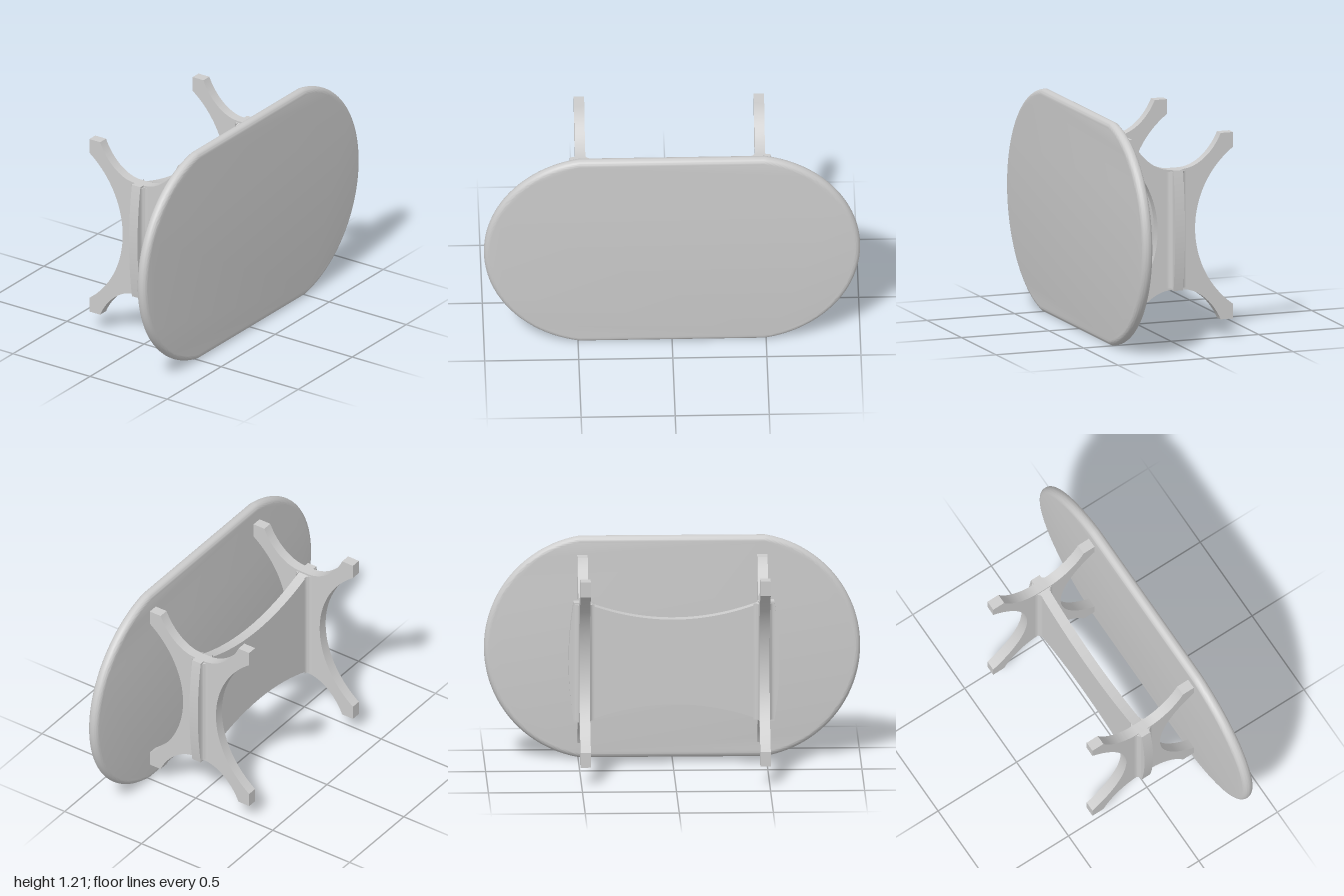
import * as THREE from 'three';
import { toCreasedNormals } from 'three/addons/utils/BufferGeometryUtils.js';

const MID_Y = 0.604;   // height of the table's long axis
const MID_Z = -0.028;  // plane of the connecting panel
const HALF = 0.0275;   // half the board thickness
const FRAME_X = 0.478; // distance of the leg frames from the centre
const POST = 0.326;    // half height of the legs' middle part

const material = new THREE.MeshStandardMaterial({ color: 0xcccccc });

function makeMesh(name, geometry) {
  const mesh = new THREE.Mesh(toCreasedNormals(geometry, 0.6), material);
  mesh.name = name;
  return mesh;
}

function extrude(shape, depth, options = {}) {
  return new THREE.ExtrudeGeometry(shape, { depth, bevelEnabled: false, curveSegments: 32, ...options });
}

// Oblong top with arched ends and a fully rounded rim
function tabletop() {
  const rim = 0.029, radius = 0.613 - rim, half = MID_Y - rim;
  const a = Math.asin(half / radius), cx = 0.387;
  const shape = new THREE.Shape();
  shape.absarc(cx, 0, radius, -a, a, false);
  shape.absarc(-cx, 0, radius, Math.PI - a, Math.PI + a, false);
  shape.closePath();
  const geometry = extrude(shape, 0.002, {
    bevelEnabled: true, bevelSize: rim, bevelThickness: rim, bevelSegments: 8, curveSegments: 48,
  });
  geometry.translate(0, MID_Y, 0.324);
  return makeMesh('tabletop', geometry);
}

// X-shaped side with four splayed legs, drawn in the depth/height plane
function legFrame() {
  const w = 0.323, foot = 0.253, h = 0.505, knee = 0.425, waist = 0.107;
  const sag = w - waist;
  const radius = (knee * knee + sag * sag) / (2 * sag);
  const a = Math.asin(knee / radius);
  const shape = new THREE.Shape();
  shape.moveTo(w, -h);
  shape.lineTo(w, -knee);
  shape.absarc(waist + radius, 0, radius, Math.PI + a, Math.PI - a, true);
  shape.lineTo(w, h);
  shape.lineTo(foot, h);
  shape.bezierCurveTo(0.215, 0.415, 0.128, POST, 0.028, POST);
  shape.lineTo(-0.028, POST);
  shape.bezierCurveTo(-0.128, POST, -0.215, 0.415, -foot, h);
  shape.lineTo(-w, h);
  shape.lineTo(-w, knee);
  shape.absarc(-waist - radius, 0, radius, a, -a, true);
  shape.lineTo(-w, -h);
  shape.lineTo(-foot, -h);
  shape.bezierCurveTo(-0.215, -0.415, -0.128, -POST, -0.028, -POST);
  shape.lineTo(0.028, -POST);
  shape.bezierCurveTo(0.128, -POST, 0.215, -0.415, foot, -h);
  shape.closePath();
  const geometry = extrude(shape, 2 * HALF);
  geometry.translate(0, 0, -HALF);
  geometry.rotateY(-Math.PI / 2);
  return makeMesh('legFrame', geometry);
}

// Board between the frames, with hollowed long edges
function panel() {
  const x = FRAME_X, dip = 0.19; // control offset, twice the real dip
  const shape = new THREE.Shape();
  shape.moveTo(-x, -POST);
  shape.quadraticCurveTo(0, -POST + dip, x, -POST);
  shape.lineTo(x, POST);
  shape.quadraticCurveTo(0, POST - dip, -x, POST);
  shape.closePath();
  const geometry = extrude(shape, 2 * HALF);
  geometry.translate(0, 0, -HALF);
  return makeMesh('panel', geometry);
}

// Gently bowed rib on the outer face of a frame
function outerRib() {
  const shape = new THREE.Shape();
  shape.moveTo(0, -POST);
  shape.lineTo(0.055, -POST);
  shape.quadraticCurveTo(0.109, 0, 0.055, POST);
  shape.lineTo(0, POST);
  shape.closePath();
  const geometry = extrude(shape, 2 * HALF);
  geometry.translate(0, 0, -HALF);
  return makeMesh('outerRib', geometry);
}

// Concave fillet filling one corner where the boards cross
function fillet(quarter) {
  const r = 0.028, c = HALF;
  const shape = new THREE.Shape();
  shape.moveTo(c, c);
  shape.lineTo(c + r, c);
  shape.absarc(c + r, c + r, r, -Math.PI / 2, -Math.PI, true);
  shape.closePath();
  const geometry = extrude(shape, 2 * POST - 0.02, { curveSegments: 8 });
  geometry.translate(0, 0, -POST + 0.01);
  geometry.rotateX(-Math.PI / 2);
  geometry.rotateY(quarter * Math.PI / 2);
  return makeMesh('fillet', geometry);
}

export function createModel() {
  const model = new THREE.Group();
  model.name = 'table';
  model.add(tabletop());

  const base = new THREE.Group();
  base.name = 'base';
  base.position.set(0, MID_Y, MID_Z);
  base.add(panel());
  for (const side of [1, -1]) {
    const end = new THREE.Group();
    end.name = side > 0 ? 'leftLegs' : 'rightLegs';
    end.position.x = side * FRAME_X;
    end.rotation.y = side > 0 ? 0 : Math.PI;
    end.add(legFrame(), outerRib());
    for (let q = 0; q < 4; q++) end.add(fillet(q));
    base.add(end);
  }
  model.add(base);
  return model;
}
